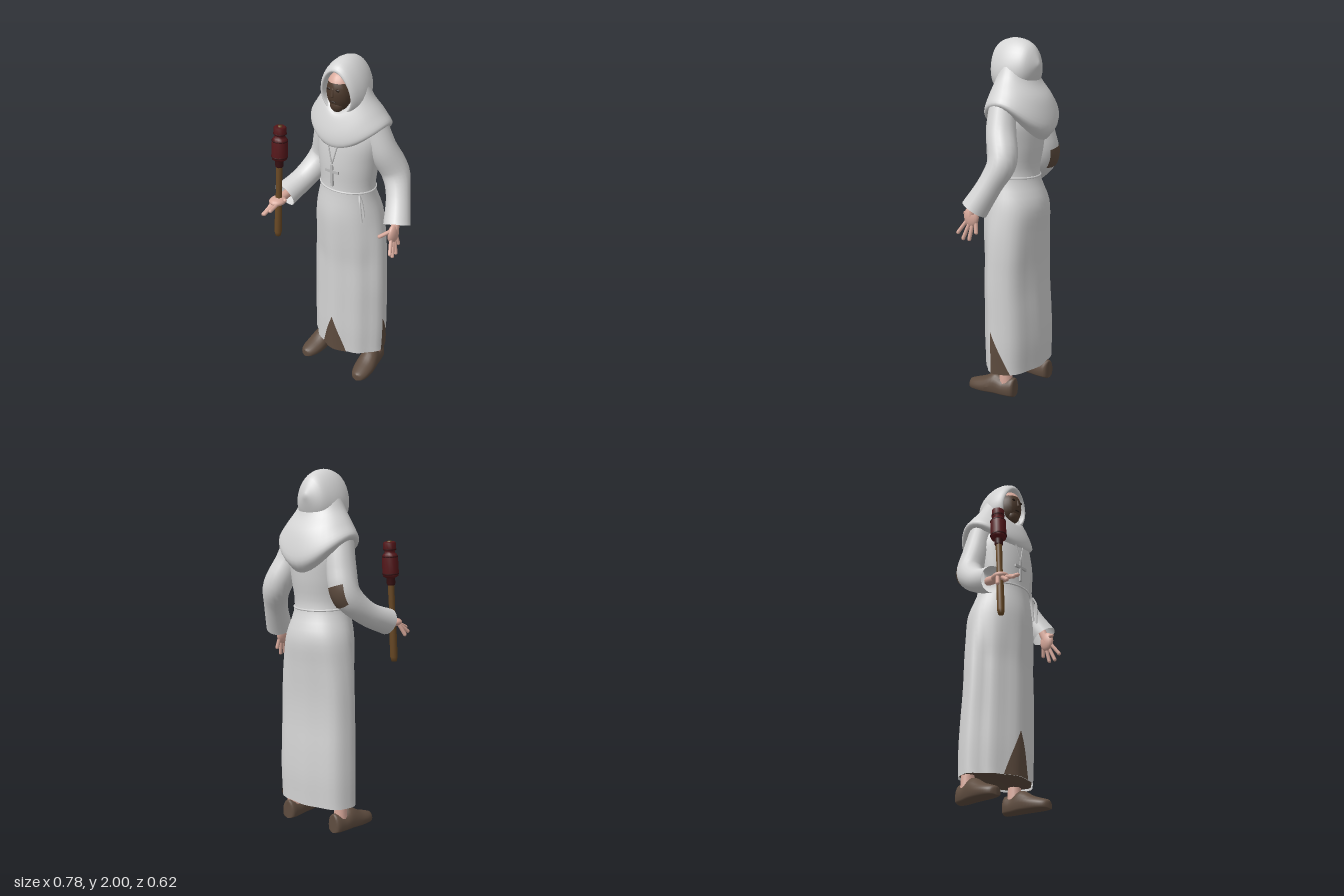
import * as THREE from 'three';
import { mergeVertices } from 'three/addons/utils/BufferGeometryUtils.js';
import { ParametricGeometry } from 'three/addons/geometries/ParametricGeometry.js';

const mat = (name, color) => new THREE.MeshStandardMaterial({ name, color, side: THREE.DoubleSide });
const M = {
  cloth: mat('cloth', 0xd4d4d4), brown: mat('brown leather', 0x5e4c3f), skin: mat('skin', 0xd8a99b),
  face: mat('dark beard', 0x4d3a2d), shade: mat('eye shade', 0x2b1f18), metal: mat('pendant metal', 0xbcbcbc),
  wood: mat('wood', 0x684824), red: mat('dark red', 0x55171a), redDark: mat('deep red', 0x361012),
};
const V = (x, y, z) => new THREE.Vector3(x, y, z);
const { sin, cos, PI } = Math;

function add(parent, name, geo, material) {
  const m = new THREE.Mesh(geo, material);
  m.name = name;
  parent.add(m);
  return m;
}

// Smooth interpolation through evenly spaced rows of numbers
function sample(rows, t) {
  const n = rows.length - 1, f = THREE.MathUtils.clamp(t, 0, 1) * n;
  const i = Math.min(Math.floor(f), n - 1), k = f - i;
  const row = j => rows[THREE.MathUtils.clamp(j, 0, n)];
  return rows[0].map((_, c) => {
    const [a, b, d, e] = [i - 1, i, i + 1, i + 2].map(j => row(j)[c]);
    return 0.5 * (2 * b + (d - a) * k + (2 * a - 5 * b + 4 * d - e) * k * k + (3 * b - a - 3 * d + e) * k ** 3);
  });
}

// Smooth surface from a point rule of (u, v)
function surface(fn, nu, nv) {
  const g = new ParametricGeometry((u, v, t) => t.copy(fn(u, v)), nu, nv);
  g.deleteAttribute('uv');
  g.deleteAttribute('normal');
  const merged = mergeVertices(g, 1e-5);
  merged.computeVertexNormals();
  return merged;
}

// Robe: rows of left, right, back and front extents, evenly spaced in height
const HEM = 0.14, TOP = 1.74;
const robeRows = [
  [-.27, .2, -.24, .07], [-.27, .205, -.245, .075], [-.265, .205, -.24, .075], [-.26, .205, -.23, .075],
  [-.255, .2, -.23, .075], [-.245, .195, -.245, .08], [-.225, .175, -.26, .08], [-.18, .145, -.215, .06],
  [-.195, .16, -.235, .065], [-.2, .165, -.24, .05], [-.11, .05, -.18, 0],
];
function robePoint(a, y, off = 0) {
  const [l, r, b, f] = sample(robeRows, (y - HEM) / (TOP - HEM));
  // the skirt hangs fuller at the back corners and has soft folds
  const skirt = THREE.MathUtils.clamp((1.2 - y) * 2.5, 0, 1);
  const fold = skirt * (.005 * cos(8 * a) + .034 * cos(a - 2.2) ** 3 + .018 * cos(a - 4) ** 3) + off;
  return V((l + r) / 2 + ((r - l) / 2 + fold) * sin(a), y, (b + f) / 2 + ((f - b) / 2 + fold) * cos(a));
}

// Sleeve: rows of centre x, y, z and radius from shoulder to cuff
function sleevePoint(rows, a, v, off = 0) {
  const [x, y, z, r] = sample(rows, v);
  const p = sample(rows, v - .02), q = sample(rows, v + .02);
  const t = V(q[0] - p[0], q[1] - p[1], q[2] - p[2]).normalize();
  const s = V(1, 0, 0).addScaledVector(t, -t.x).normalize();
  const w = t.clone().cross(s);
  return V(x, y, z).addScaledVector(s, (r + off) * cos(a)).addScaledVector(w, (r + off) * sin(a));
}

function tube(parent, name, pts, r, material, closed = false) {
  const curve = new THREE.CatmullRomCurve3(pts, closed);
  return add(parent, name, new THREE.TubeGeometry(curve, pts.length * 4, r, 6, closed), material);
}

// Rounded rod between two points
function rod(parent, name, a, b, r, material) {
  const d = b.clone().sub(a);
  const m = add(parent, name, new THREE.CapsuleGeometry(r, d.length(), 3, 8), material);
  m.position.copy(a).add(b).multiplyScalar(.5);
  m.quaternion.setFromUnitVectors(V(0, 1, 0), d.normalize());
}

function ball(parent, name, pos, scale, material, ...args) {
  const m = add(parent, name, new THREE.SphereGeometry(1, 18, 12, ...args), material);
  m.position.set(...pos);
  m.scale.set(...scale);
}

function hand(parent, name, wrist, palm, size, fingers) {
  const g = new THREE.Group();
  g.name = name;
  parent.add(g);
  rod(g, 'wrist', V(...wrist), V(...palm), .025, M.skin);
  ball(g, 'palm', palm, size, M.skin);
  fingers.forEach(([a, b]) => rod(g, 'finger', V(...a), V(...b), .011, M.skin));
}

export function createModel() {
  const root = new THREE.Group();
  root.name = 'hoodedMonk';

  // Robe with brown slits and a brown lining
  add(root, 'robe', surface((u, v) => robePoint(u * 2 * PI, HEM + v * (TOP - HEM)), 40, 40), M.cloth);
  const slit = (name, mid, lean, half) => add(root, name, surface((u, v) =>
    robePoint(mid + lean * v + (u - .5) * 2 * half * (1 - v * .999), HEM + .25 * v, .004), 10, 10), M.brown);
  slit('frontSlit', 0, 0, .42);
  slit('sideSlit', 1.93, -.3, .3);
  add(root, 'lining', surface((u, v) => {
    const p = robePoint(u * 2 * PI, .15, -.008);
    return V(-.035, .17, -.085).lerp(p, v);
  }, 30, 2), M.brown);

  // Rope belt with hanging ends
  tube(root, 'belt', Array.from({ length: 20 }, (_, i) =>
    robePoint(i / 20 * 2 * PI, 1.255 + .01 * cos(i / 20 * 2 * PI))), .006, M.cloth, true);
  tube(root, 'beltEnd', [V(.125, 1.26, .02), V(.14, 1.22, .035), V(.15, 1.1, .03)], .006, M.cloth);
  tube(root, 'beltEnd', [V(.125, 1.26, .02), V(.135, 1.22, .01), V(.15, 1.12, .005)], .006, M.cloth);

  // Cowl: rows of half width, front z, back z, then height at front, side and back
  const cowl = [
    [.11, .005, -.18, 1.71, 1.88, 1.86], [.145, .03, -.215, 1.695, 1.795, 1.76],
    [.2, .06, -.275, 1.61, 1.715, 1.66], [.238, .066, -.308, 1.545, 1.655, 1.52], [.2, .045, -.27, 1.51, 1.62, 1.455],
  ];
  add(root, 'cowl', surface((u, v) => {
    const a = u * 2 * PI, c = cos(a);
    const [w, f, b, yf, ys, yb] = sample(cowl, v);
    return V(-.03 + w * sin(a), ys + ((c > 0 ? yf : yb) - ys) * c * c, (f + b) / 2 + (f - b) / 2 * c);
  }, 40, 20), M.cloth);

  // Hood: rows of z, centre height, half width, half height and forward tilt
  const hood = [
    [-.02, 1.825, .082, .105, .1], [.022, 1.825, .092, .118, .12], [-.005, 1.83, .115, .148, .12],
    [-.07, 1.825, .128, .175, .06], [-.14, 1.835, .115, .155, 0], [-.2, 1.85, .08, .1, 0], [-.24, 1.86, 0, 0, 0],
  ];
  add(root, 'hood', surface((u, v) => {
    const a = u * 2 * PI, [z, cy, w, h, tilt] = sample(hood, v);
    const taper = 1 - .17 * sin(a);
    return V(-.03 + w * taper * cos(a), cy + h * sin(a), z + tilt * h * sin(a));
  }, 32, 24), M.cloth);

  // Face
  ball(root, 'face', [-.03, 1.825, -.022], [.073, .11, .075], M.face);
  ball(root, 'forehead', [-.03, 1.825, -.022], [.075, .113, .078], M.skin, 0, 2 * PI, 0, 1.02);
  rod(root, 'nose', V(-.03, 1.85, .045), V(-.03, 1.815, .053), .009, M.face);
  ball(root, 'beard', [-.03, 1.755, .012], [.04, .04, .03], M.face);
  for (const s of [-1, 1]) ball(root, 'eye', [-.03 + s * .028, 1.85, .044], [.014, .007, .005], M.shade);
  ball(root, 'mouth', [-.03, 1.783, .045], [.02, .004, .006], M.shade);

  // Sleeves and elbow patch
  const left = [[.13, 1.63, -.11, .075], [.17, 1.5, -.13, .082], [.225, 1.36, -.18, .08], [.275, 1.24, -.14, .068], [.32, 1.1, -.065, .076]];
  const right = [[-.17, 1.63, -.11, .075], [-.195, 1.48, -.13, .082], [-.235, 1.34, -.135, .08], [-.285, 1.23, -.02, .068], [-.315, 1.17, .13, .074]];
  for (const [name, rows] of [['leftSleeve', left], ['rightSleeve', right]])
    add(root, name, surface((u, v) => sleevePoint(rows, u * 2 * PI, v), 20, 20), M.cloth);
  add(root, 'elbowPatch', surface((u, v) =>
    sleevePoint(right, -PI / 2 - .05 + (u - .5) * 1.25, .41 + v * .13, .004), 6, 6), M.brown);

  // Hands
  hand(root, 'leftHand', [.315, 1.13, -.075], [.315, 1.055, -.04], [.024, .058, .048], [
    [[.31, 1.08, -.01], [.275, 1.06, .038]], [[.32, 1.03, -.01], [.342, .965, .032]], [[.32, 1.02, -.03], [.338, .935, 0]],
    [[.318, 1.02, -.05], [.335, .935, -.04]], [[.315, 1.03, -.07], [.325, .975, -.08]],
  ]);
  hand(root, 'rightHand', [-.315, 1.17, .1], [-.315, 1.16, .19], [.047, .024, .054], [
    [[-.285, 1.17, .17], [-.25, 1.19, .205]], [[-.295, 1.155, .22], [-.285, 1.15, .292]], [[-.315, 1.15, .23], [-.325, 1.12, .297]],
    [[-.33, 1.145, .22], [-.353, 1.1, .277]], [[-.345, 1.15, .2], [-.37, 1.09, .225]],
  ]);

  // Torch: wooden shaft with a wrapped red head
  const torch = new THREE.Group();
  torch.name = 'torch';
  torch.position.set(-.317, .93, .2);
  torch.quaternion.setFromUnitVectors(V(0, 1, 0), V(.012, .68, -.045).normalize());
  root.add(torch);
  const lathe = (name, pts, m) => add(torch, name, new THREE.LatheGeometry(pts.map(p => new THREE.Vector2(...p)), 12), m);
  lathe('shaft', [[0, 0], [.015, .004], [.021, .03], [.021, .16], [.017, .3], [.019, .46], [.012, .66], [.012, .685], [0, .685]], M.wood);
  lathe('collar', [[.02, .44], [.024, .45], [.024, .49], [.03, .5]], M.redDark);
  lathe('torchHead', [[.015, .475], [.042, .49], [.046, .51], [.044, .6], [.036, .615], [.03, .618], [.029, .63],
    [.036, .638], [.035, .675], [.028, .681], [.012, .678]], M.red);
  for (const [y, r] of [[.505, .043], [.6, .041], [.64, .033]]) {
    const band = add(torch, 'headBand', new THREE.TorusGeometry(r, .005, 6, 14), M.redDark);
    band.position.y = y;
    band.rotation.x = PI / 2;
  }

  // Cross pendant on a chain
  const box = (name, w, h, x, y) => add(root, name, new THREE.BoxGeometry(w, h, .012), M.metal).position.set(x, y, .066);
  box('pendantUpright', .016, .13, -.025, 1.36);
  box('pendantBar', .088, .016, -.025, 1.385);
  for (const s of [-1, 1])
    tube(root, 'chain', [V(-.025, 1.43, .067), V(-.025 + s * .012, 1.47, .063), V(-.025 + s * .03, 1.54, .056)], .004, M.metal);

  // Shoes and ankles: rows of z, half width and top height
  const shoe = [[-.205, 0, .09], [-.2, .04, .11], [-.14, .05, .1], [-.085, .056, .125], [-.01, .061, .085], [.05, .052, .063], [.085, .032, .05], [.095, 0, .04]];
  for (const [name, x, turn] of [['leftFoot', .158, .1], ['rightFoot', -.222, -.1]]) {
    const foot = new THREE.Group();
    foot.name = name;
    foot.position.x = x;
    foot.rotation.y = turn;
    root.add(foot);
    add(foot, 'shoe', surface((u, v) => {
      const a = u * 2 * PI, s = sin(a), [z, w, h] = sample(shoe, v);
      const up = s < 0 ? -Math.pow(-s, .4) : s;
      return V(Math.max(w, 0) * cos(a), h * (.4 + (up > 0 ? .6 : .4) * up), z);
    }, 20, 24), M.brown);
    const ankle = add(foot, 'ankle', new THREE.CylinderGeometry(.036, .04, .08, 12), M.skin);
    ankle.position.set(0, .107, -.145);
  }
  return root;
}
